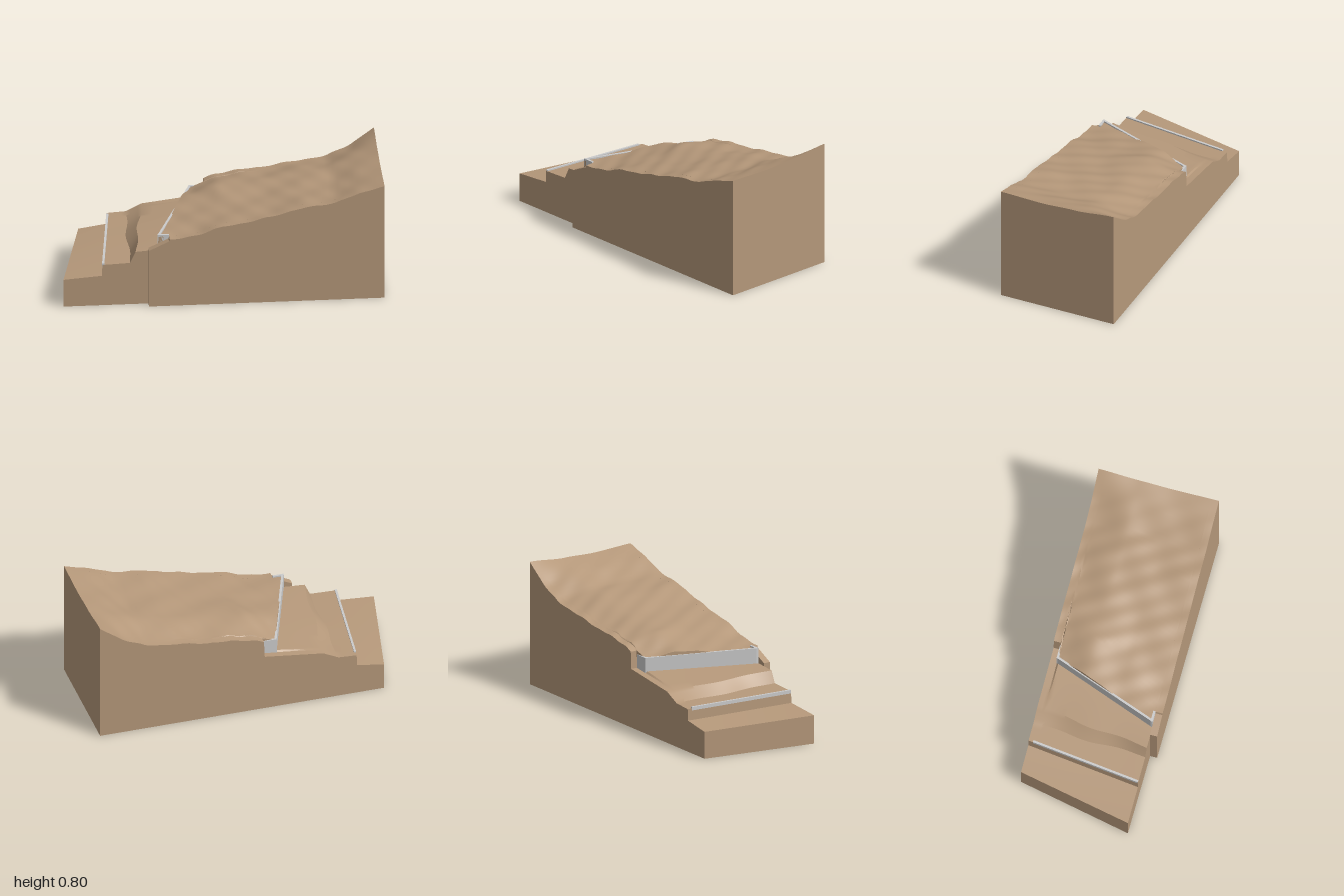
import * as THREE from 'three';
import { toCreasedNormals } from 'three/addons/utils/BufferGeometryUtils.js';

const lerp = THREE.MathUtils.lerp;
const earth = new THREE.MeshStandardMaterial({ color: 0xb5987a });
const stone = new THREE.MeshStandardMaterial({ color: 0xcccccc });

// Heights of the upper hillside: one row per z, one column per x
const XS = [-0.47, -0.3, -0.15, 0, 0.15, 0.3, 0.5, 0.7, 0.85, 1];
const ZS = [0.39, 0.1, -0.12, -0.39];
const HEIGHTS = [
  [0.45, 0.46, 0.485, 0.535, 0.56, 0.59, 0.645, 0.67, 0.73, 0.773],
  [0.45, 0.472, 0.5, 0.535, 0.562, 0.588, 0.635, 0.655, 0.72, 0.766],
  [0.45, 0.475, 0.51, 0.562, 0.575, 0.59, 0.63, 0.66, 0.72, 0.776],
  [0.45, 0.45, 0.45, 0.522, 0.546, 0.555, 0.592, 0.615, 0.69, 0.8],
];

// Finds the interval holding v and how far along it lies
function locate(list, v) {
  let i = 0;
  while (i < list.length - 2 && (v - list[i + 1]) * (list[1] - list[0]) > 0) i++;
  return [i, THREE.MathUtils.clamp((v - list[i]) / (list[i + 1] - list[i]), 0, 1)];
}

function hillHeight(x, z) {
  const [i, a] = locate(XS, x);
  const [j, b] = locate(ZS, z);
  const s = b * b * (3 - 2 * b);
  const base = lerp(lerp(HEIGHTS[j][i], HEIGHTS[j][i + 1], a), lerp(HEIGHTS[j + 1][i], HEIGHTS[j + 1][i + 1], a), s);
  const fade = Math.min(1, (1 - x) * 5);
  return base + fade * (0.004 * Math.sin(19 * x + 7 * z) * Math.cos(17 * z - 4 * x) + 0.0025 * Math.sin(41 * x - 23 * z));
}

// x of the cut behind the retaining wall, with a return at each end
function cutX(z) {
  if (z < -0.34) return -0.07;
  return lerp(-0.41, -0.16, (0.335 - z) / 0.67);
}

// Adds evenly spaced points between the key points of a section
function densify(keys, steps) {
  const out = [keys[0]];
  for (let k = 1; k < keys.length; k++)
    for (let s = 1; s <= steps; s++)
      out.push([lerp(keys[k - 1][0], keys[k][0], s / steps), lerp(keys[k - 1][1], keys[k][1], s / steps)]);
  return out;
}

function hillPoints(x0, z, steps = 44) {
  return Array.from({ length: steps + 1 }, (_, i) => {
    const x = lerp(x0, 1, i / steps);
    return [x, hillHeight(x, z)];
  });
}

// Full section: lower terrace, step, middle terrace, bank, cut, hillside
function mainSection(z) {
  const t = (0.34 - z) / 0.73;
  const k = lerp(-0.76, -0.67, t);
  const w = cutX(z);
  const wobble = 0.012 * Math.sin(t * 9) * t * (1 - t) * 4;
  const keys = [
    [lerp(-1, -0.845, t), lerp(0.185, 0.176, t)],
    [k, 0.203],
    [k + 0.003, 0.278],
    [lerp(-0.585, -0.55, t) + wobble, 0.285],
    [lerp(-0.55, -0.45, t) + wobble, lerp(0.36, 0.335, t)],
    [w, lerp(0.37, 0.383, t)],
  ];
  return [...densify(keys, 4), ...hillPoints(w + 0.005, z)];
}

// Section of the strip in front of the wall end
function frontSection(z) {
  return [...densify([[-0.47, 0.385], [-0.345, 0.445]], 4), ...hillPoints(-0.34, z)];
}

// Closed solid lofted through sections, running from front to back
function loft(section, zs) {
  const pos = [];
  const quad = (a, b, c, d) => pos.push(...a, ...b, ...c, ...b, ...d, ...c);
  const rows = zs.map((z) => {
    const top = section(z);
    return [[top[0][0], 0], ...top, [1, 0]].map(([x, y]) => [x, y, z]);
  });
  const n = rows[0].length;
  for (let i = 0; i < rows.length - 1; i++)
    for (let j = 0; j < n; j++) {
      const m = (j + 1) % n;
      quad(rows[i][j], rows[i][m], rows[i + 1][j], rows[i + 1][m]);
    }
  // flat front and back sides
  const foot = ([x, , z]) => [x, 0, z];
  const front = rows[0], back = rows[rows.length - 1];
  for (let j = 1; j < n - 2; j++) {
    quad(foot(front[j]), foot(front[j + 1]), front[j], front[j + 1]);
    quad(foot(back[j + 1]), foot(back[j]), back[j + 1], back[j]);
  }
  const geo = new THREE.BufferGeometry();
  geo.setAttribute('position', new THREE.Float32BufferAttribute(pos, 3));
  return toCreasedNormals(geo, 0.45);
}

// Straight upright slab between two ground points
function slab(name, [x0, z0], [x1, z1], y0, y1, thick) {
  const length = Math.hypot(x1 - x0, z1 - z0);
  const mesh = new THREE.Mesh(new THREE.BoxGeometry(length, y1 - y0, thick), stone);
  mesh.position.set((x0 + x1) / 2, (y0 + y1) / 2, (z0 + z1) / 2);
  mesh.rotation.y = -Math.atan2(z1 - z0, x1 - x0);
  mesh.name = name;
  return mesh;
}

export function createModel() {
  const model = new THREE.Group();
  model.name = 'terracedHillside';

  const mainZ = [0.34];
  for (let i = 0; i <= 36; i++) mainZ.push(lerp(0.33, -0.335, i / 36));
  mainZ.push(-0.345, -0.36, -0.375, -0.39);
  const hill = new THREE.Mesh(loft(mainSection, mainZ), earth);
  hill.name = 'hillside';

  const strip = new THREE.Mesh(loft(frontSection, [0.385, 0.37, 0.355, 0.34]), earth);
  strip.name = 'frontStrip';
  model.add(hill, strip);

  // retaining wall with short returns into the hill
  const wall = new THREE.Group();
  wall.name = 'retainingWall';
  wall.add(
    slab('wallFace', [-0.405, 0.335], [-0.155, -0.34], 0.355, 0.47, 0.014),
    slab('frontReturn', [-0.412, 0.333], [-0.34, 0.333], 0.355, 0.47, 0.014),
    slab('backReturn', [-0.162, -0.34], [-0.07, -0.34], 0.355, 0.47, 0.014),
  );
  model.add(wall);

  // low kerb along the lower step
  model.add(slab('kerb', [-0.752, 0.338], [-0.666, -0.36], 0.265, 0.287, 0.014));
  return model;
}
